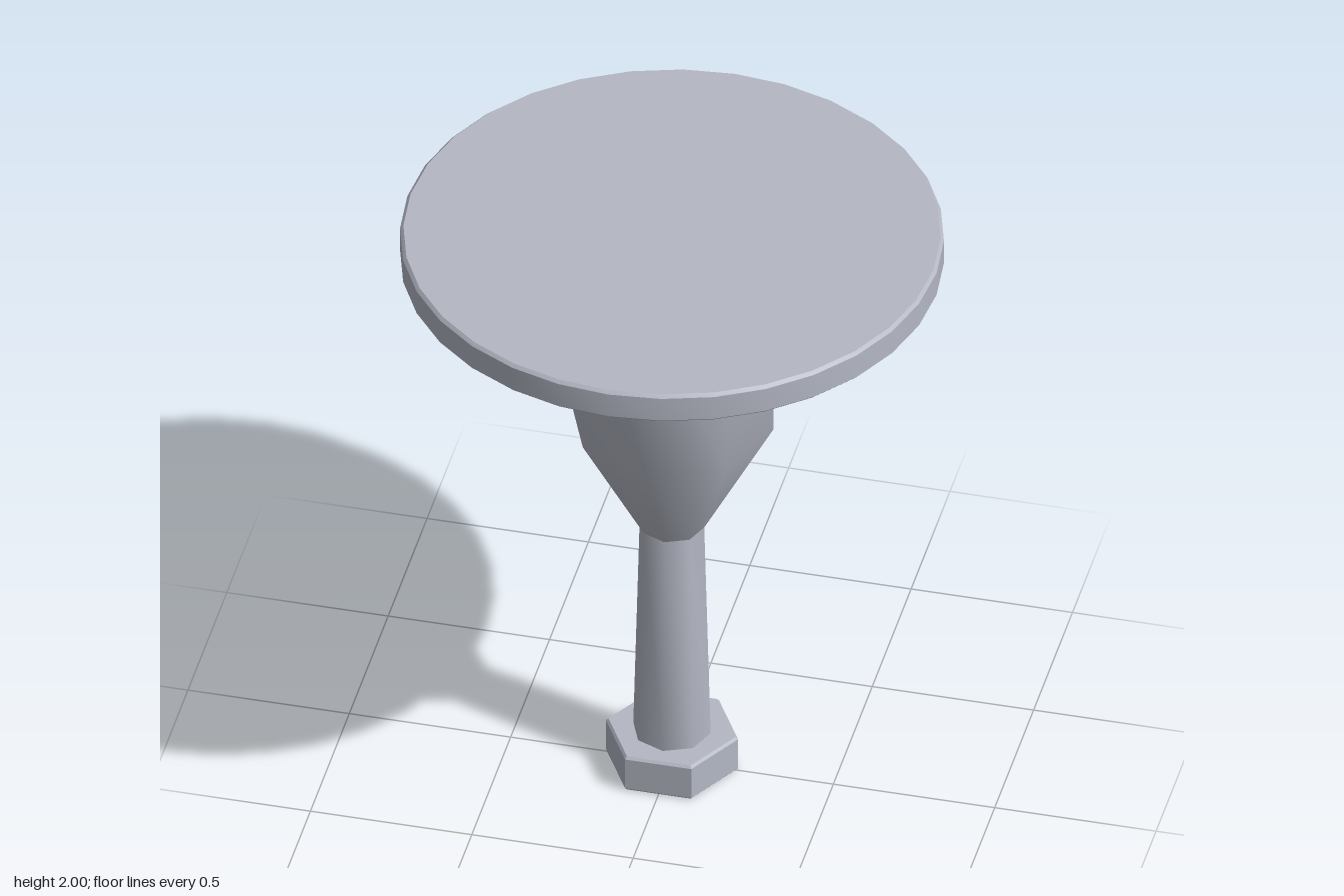
import * as THREE from 'three';
import { toCreasedNormals } from 'three/addons/utils/BufferGeometryUtils.js';

export function createModel() {
  const group = new THREE.Group();
  const steel = new THREE.MeshStandardMaterial({ color: 0xb4b8c4 });
  steel.name = 'steel grey';

  // Turned part from a bottom-to-top [radius, height] profile
  function turned(name, profile, sides, crease, start = 0) {
    const points = profile.map(([r, y]) => new THREE.Vector2(r, y));
    const lathe = new THREE.LatheGeometry(points, sides, start);
    const mesh = new THREE.Mesh(toCreasedNormals(lathe, crease), steel);
    mesh.name = name;
    group.add(mesh);
  }

  // Hexagonal foot with softened rims, corners on the x axis
  turned('foot', [
    [0, 0], [0.197, 0], [0.205, 0.008], [0.205, 0.117], [0.197, 0.125], [0, 0.125],
  ], 6, 0.6, Math.PI / 6);

  // Tapered shaft
  turned('shaft', [[0.12, 0.12], [0.1, 0.9]], 8, 0.9);

  // Octagonal body narrowing down to the shaft
  turned('body', [[0.1, 0.9], [0.315, 1.31], [0.315, 1.905]], 8, 0.9);

  // Round plate with a slightly bevelled rim
  turned('plate', [
    [0, 1.9], [0.812, 1.9], [0.82, 1.908], [0.82, 1.99], [0.81, 2], [0, 2],
  ], 32, 0.6);

  return group;
}
